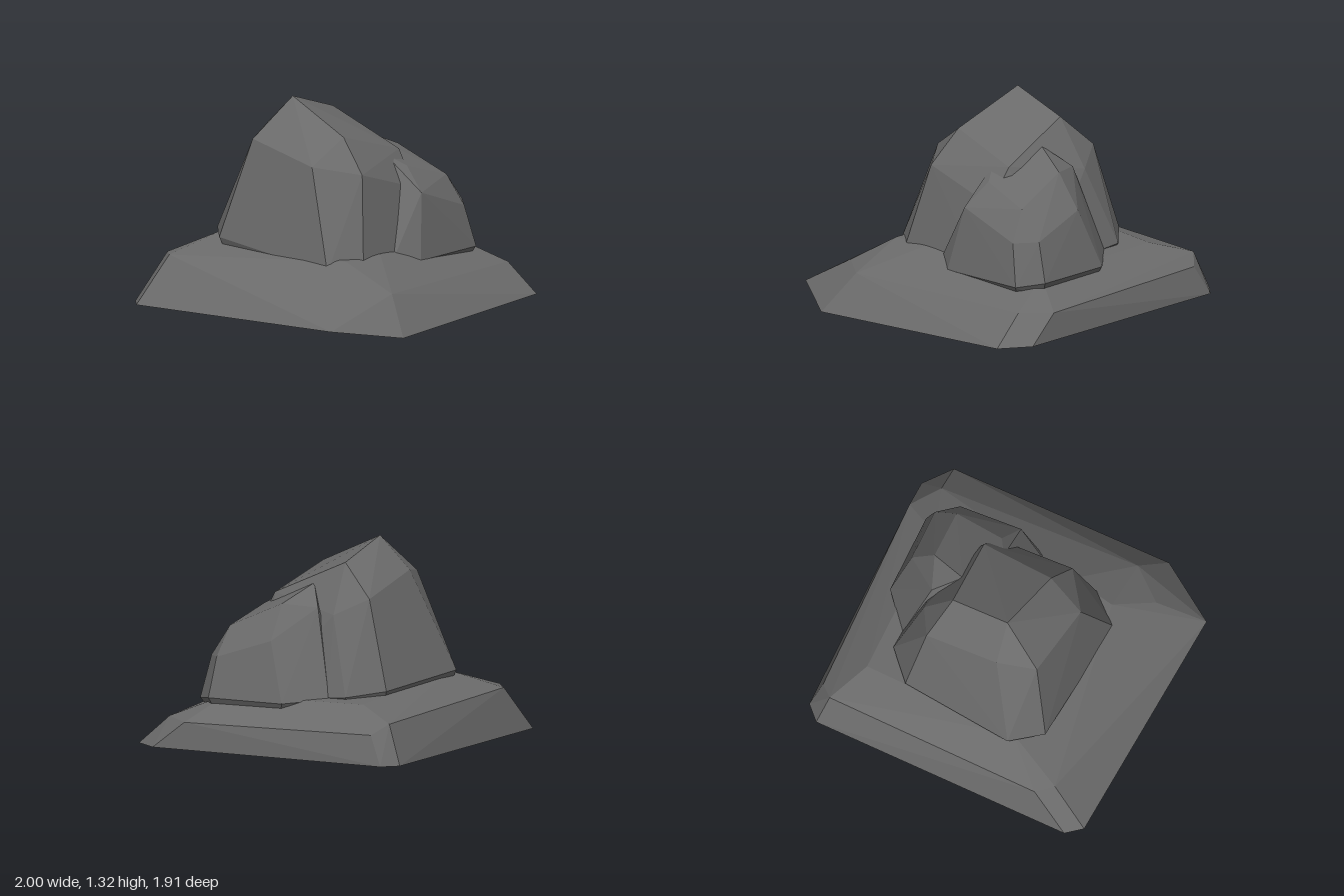
import * as THREE from 'three';
import { ConvexGeometry } from 'three/addons/geometries/ConvexGeometry.js';

const stone = new THREE.MeshStandardMaterial({ color: 0x6a6a6a });
stone.name = 'grey stone';

// A faceted rock: the hull of its corner points
function rock(name, corners) {
  const points = corners.map(([x, y, z]) => new THREE.Vector3(x, y, z));
  const mesh = new THREE.Mesh(new ConvexGeometry(points), stone);
  mesh.name = name;
  return mesh;
}

// Foot of a boulder, tucked in below its widest ring
function tuckIn(ring, cx, cz, y) {
  return ring.map(([x, , z]) => [cx + (x - cx) * 0.86, y, cz + (z - cz) * 0.86]);
}

export function createModel() {
  const group = new THREE.Group();
  group.name = 'rockPile';

  // Wide slab: bottom outline, chamfered shoulder, then the crown
  group.add(rock('baseSlab', [
    [-1, 0.07, 0.68], [-0.61, 0, 0.955], [0.86, 0.045, 0.925], [1, 0.05, 0.75],
    [1, 0.05, -0.87], [0.91, 0.05, -0.96], [-0.8, 0.05, -0.96], [-0.9, 0.05, -0.88],
    [-0.69, 0.25, 0.6], [-0.48, 0.24, 0.775], [0.845, 0.23, 0.715], [0.98, 0.22, 0.535],
    [0.95, 0.235, -0.775], [0.865, 0.3, -0.86], [-0.56, 0.335, -0.885], [-0.66, 0.34, -0.8],
    [-0.3, 0.46, -0.64], [0.73, 0.385, -0.6], [0.73, 0.37, 0.38],
    [-0.18, 0.41, 0.47], [-0.47, 0.4, 0.42],
  ]));

  // Tall boulder: widest ring, shoulder, then the sloping top
  const tallRing = [
    [-0.535, 0.33, 0.32], [-0.365, 0.32, 0.475], [0.3, 0.33, 0.48], [0.6, 0.36, 0.2],
    [0.63, 0.39, -0.29], [0.635, 0.4, -0.42], [0.46, 0.43, -0.615],
    [-0.285, 0.47, -0.7], [-0.475, 0.45, -0.55],
  ];
  group.add(rock('tallBoulder', [
    ...tallRing, ...tuckIn(tallRing, 0.03, -0.1, 0.24),
    [-0.405, 0.955, 0.11], [-0.225, 0.905, 0.365], [0.3, 0.75, 0.39],
    [0.5, 0.89, -0.26], [0.39, 0.99, -0.455], [-0.1, 1.11, -0.47], [-0.34, 1.07, -0.39],
    [-0.165, 1.115, 0.18], [0.33, 0.975, 0.25], [0.31, 1.195, -0.24], [-0.08, 1.315, -0.27],
  ]));

  // Low boulder leaning on the front corner of the tall one
  const lowRing = [
    [-0.05, 0.34, 0.47], [0.11, 0.335, 0.575], [0.695, 0.335, 0.58], [0.825, 0.36, 0.45],
    [0.825, 0.36, -0.07], [0.63, 0.38, -0.3], [0.3, 0.4, -0.25],
  ];
  group.add(rock('lowBoulder', [
    ...lowRing, ...tuckIn(lowRing, 0.42, 0.2, 0.25),
    [0.2, 0.745, 0.515], [0.63, 0.6, 0.535], [0.755, 0.61, 0.43], [0.735, 0.735, 0.055],
    [0.6, 0.79, 0.42], [0.26, 0.89, 0.36], [0.19, 0.96, 0.245],
    [0.58, 0.95, 0.06], [0.5, 0.93, -0.15], [0.34, 1.055, -0.035],
  ]));

  return group;
}
